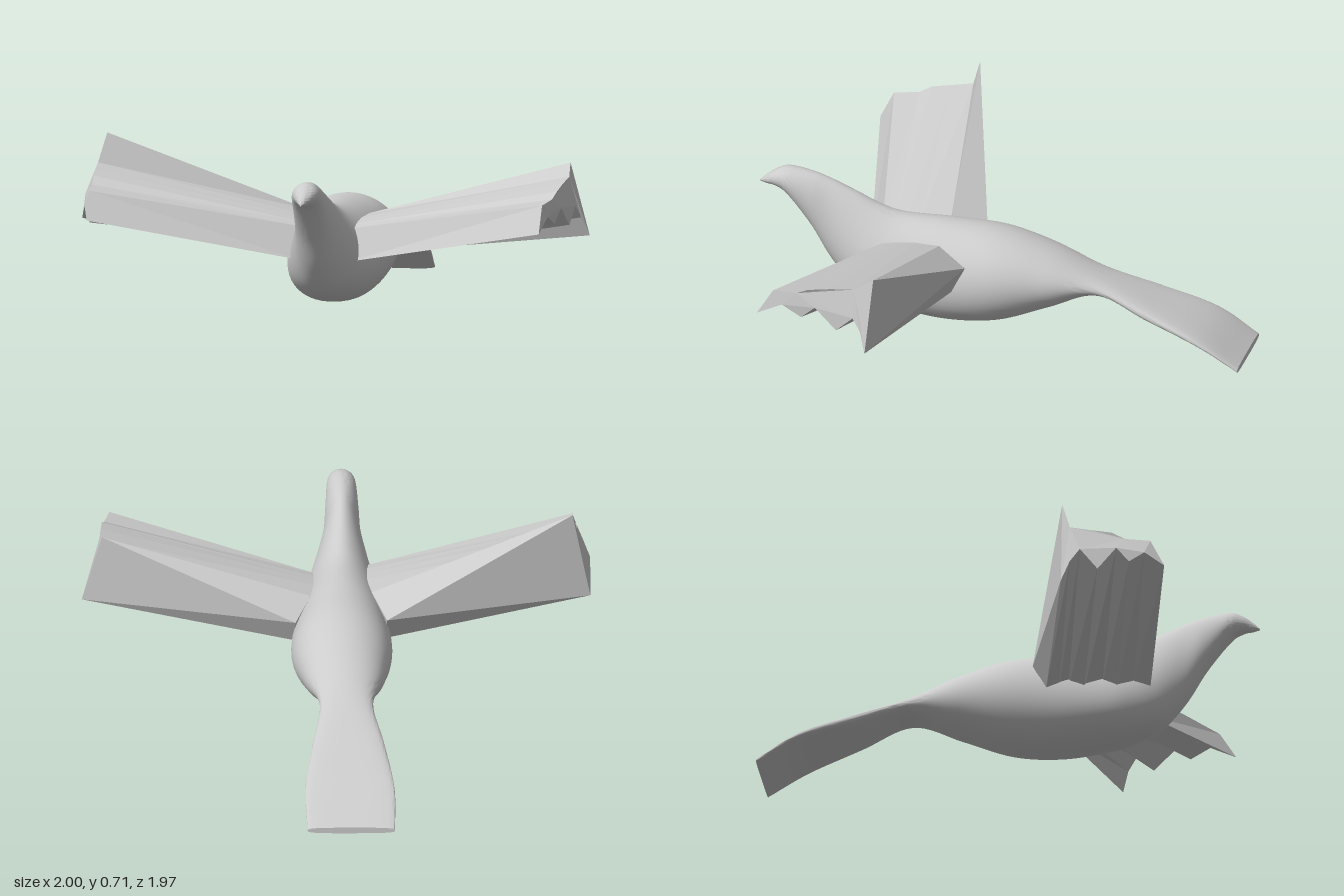
import * as THREE from 'three';
import { toCreasedNormals } from 'three/addons/utils/BufferGeometryUtils.js';

const material = new THREE.MeshStandardMaterial({ color: 0xcccccc });
const wingMaterial = new THREE.MeshStandardMaterial({
  color: 0xcccccc, flatShading: true, side: THREE.DoubleSide,
});

function buildGeometry(positions, index) {
  const geo = new THREE.BufferGeometry();
  geo.setAttribute('position', new THREE.Float32BufferAttribute(positions, 3));
  geo.setIndex(index);
  geo.computeVertexNormals();
  return geo;
}

// Body stations from tail to beak: z, top, bottom, half width, centre x, pear taper
const STATIONS = [
  [-0.985, 0.035, 0.01, 0.172, -0.055, 0],
  [-0.82, 0.14, 0.105, 0.175, -0.05, 0],
  [-0.6, 0.23, 0.175, 0.14, -0.045, 0],
  [-0.4, 0.31, 0.235, 0.105, -0.038, 0],
  [-0.2, 0.4, 0.16, 0.16, -0.03, 0],
  [0, 0.46, 0.085, 0.197, -0.022, 0],
  [0.2, 0.475, 0.063, 0.19, -0.022, 0.1],
  [0.4, 0.48, 0.085, 0.165, -0.022, 0.25],
  [0.5, 0.505, 0.11, 0.14, -0.022, 0.3],
  [0.6, 0.55, 0.155, 0.108, -0.024, 0.25],
  [0.695, 0.59, 0.255, 0.076, -0.025, 0.1],
  [0.775, 0.615, 0.385, 0.066, -0.025, 0],
  [0.87, 0.628, 0.51, 0.057, -0.023, 0],
  [0.92, 0.612, 0.542, 0.041, -0.021, 0],
  [0.96, 0.584, 0.547, 0.02, -0.02, 0],
  [0.987, 0.558, 0.552, 0.003, -0.02, 0],
];

function bodyGeometry(rings = 120, sides = 48) {
  const spline = (o) => new THREE.CatmullRomCurve3(
    STATIONS.map((s) => new THREE.Vector3(s[o], s[o + 1], s[o + 2])), false, 'catmullrom', 0.5);
  const profile = spline(0), plan = spline(3);
  const positions = [], index = [];
  for (let i = 0; i <= rings; i++) {
    const p = profile.getPoint(i / rings), q = plan.getPoint(i / rings);
    // The tail is a flat blade with squarer sides
    const power = 0.6 + 0.4 * THREE.MathUtils.smoothstep(p.x, -0.75, -0.3);
    for (let j = 0; j < sides; j++) {
      const a = (j / sides) * Math.PI * 2, c = Math.cos(a), s = Math.sin(a);
      const up = Math.sign(s) * Math.abs(s) ** power;
      const out = Math.sign(c) * Math.abs(c) ** power;
      positions.push(
        q.y + q.x * out * (1 - q.z * up),
        (p.y + p.z) / 2 + ((p.y - p.z) / 2) * up,
        p.x);
    }
  }
  for (let i = 0; i < rings; i++) {
    for (let j = 0; j < sides; j++) {
      const a = i * sides + j, b = i * sides + ((j + 1) % sides);
      index.push(a, b, b + sides, a, b + sides, a + sides);
    }
  }
  // Close the tail and the beak with fans
  for (let j = 1; j < sides - 1; j++) {
    const k = rings * sides;
    index.push(0, j + 1, j, k, k + j, k + j + 1);
  }
  return toCreasedNormals(buildGeometry(positions, index), 0.9);
}

// Each wing is a pleated slab: matching root and tip outlines joined by quads.
// Outline order: leading edge, stepped top, trailing flap, zigzag underside.
function wingGeometry(root, tip, side) {
  const n = tip.length;
  const positions = [...root, ...tip].flat();
  const index = [];
  for (let i = 0; i < n; i++) {
    const j = (i + 1) % n;
    index.push(i, j, n + j, i, n + j, n + i);
  }
  for (const [outline, offset] of [[root, 0], [tip, n]]) {
    const flat = outline.map((p) => new THREE.Vector2(p[2], p[1]));
    for (const f of THREE.ShapeUtils.triangulateShape(flat, [])) {
      index.push(...f.map((v) => v + offset));
    }
  }
  if (side < 0) index.reverse();
  return buildGeometry(positions, index);
}

const LEFT_TIP = [
  [0.89, 0.435, 0.765], [0.89, 0.54, 0.7], [0.91, 0.55, 0.6], [0.92, 0.575, 0.55],
  [0.925, 0.592, 0.46], [0.93, 0.605, 0.36], [0.92, 0.65, 0.285], [1.0, 0.365, 0.3],
  [0.97, 0.44, 0.325], [0.955, 0.49, 0.36], [0.945, 0.425, 0.43],
  [0.93, 0.505, 0.52], [0.915, 0.45, 0.58], [0.905, 0.49, 0.66],
];
const LEFT_ROOT = [
  [0.08, 0.265, 0.515], [0.08, 0.39, 0.465], [0.08, 0.4, 0.42], [0.08, 0.405, 0.38],
  [0.08, 0.41, 0.33], [0.1, 0.415, 0.23], [0.16, 0.36, 0.11], [0.16, 0.255, 0.16],
  [0.12, 0.27, 0.2], [0.1, 0.28, 0.23], [0.09, 0.255, 0.28],
  [0.08, 0.28, 0.34], [0.08, 0.255, 0.39], [0.08, 0.28, 0.45],
];
const RIGHT_TIP = [
  [-0.93, 0.43, 0.735], [-0.93, 0.54, 0.68], [-0.94, 0.55, 0.58], [-0.945, 0.578, 0.53],
  [-0.95, 0.592, 0.45], [-0.96, 0.605, 0.365], [-0.93, 0.72, 0.33], [-1.0, 0.36, 0.335],
  [-1.0, 0.44, 0.37], [-1.0, 0.49, 0.41], [-1.0, 0.4, 0.48],
  [-0.97, 0.5, 0.55], [-0.965, 0.44, 0.6], [-0.955, 0.48, 0.66],
];
// The right root mirrors the left about the body, set slightly forward at the front
const RIGHT_ROOT = LEFT_ROOT.map(([x, y, z]) => [
  -x - 0.04, y + 0.01, z + 0.05 * THREE.MathUtils.smoothstep(z, 0.1, 0.5)]);

export function createModel() {
  const model = new THREE.Group();
  model.name = 'bird';
  const add = (name, geometry, mat) => {
    const mesh = new THREE.Mesh(geometry, mat);
    mesh.name = name;
    model.add(mesh);
  };
  add('body', bodyGeometry(), material);
  add('leftWing', wingGeometry(LEFT_ROOT, LEFT_TIP, 1), wingMaterial);
  add('rightWing', wingGeometry(RIGHT_ROOT, RIGHT_TIP, -1), wingMaterial);
  return model;
}
